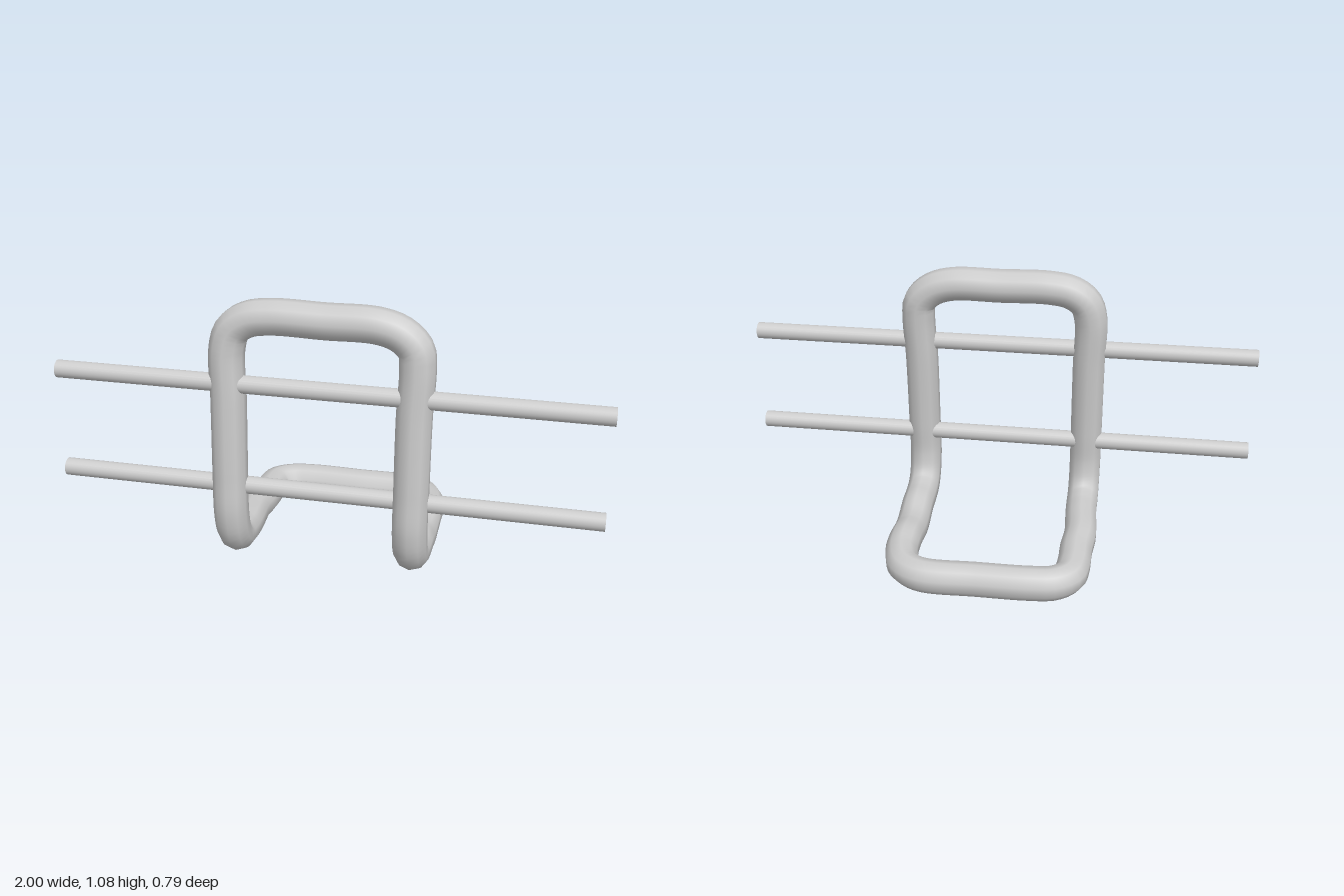
import * as THREE from 'three';

const TUBE_RADIUS = 0.065;
const ROD_RADIUS = 0.033;

export function createModel() {
  const model = new THREE.Group();
  model.name = 'bentTubeFrame';
  const material = new THREE.MeshStandardMaterial({ color: 0xcccccc });

  // Centre line of the bent tube: one closed, slightly hand-bent loop
  const path = [
    // top bar and its rounded corners
    [-0.352, 0.89, 0.288], [-0.33, 0.96, 0.283], [-0.275, 1.0, 0.281], [-0.19, 1.015, 0.28],
    [0, 1.013, 0.28],
    [0.19, 1.011, 0.28], [0.27, 0.985, 0.281], [0.32, 0.935, 0.284], [0.328, 0.87, 0.289],
    // left upright, then the bend to the foot
    [0.322, 0.7, 0.301], [0.321, 0.4, 0.32], [0.32, 0.26, 0.325],
    [0.32, 0.175, 0.305], [0.32, 0.128, 0.265], [0.32, 0.108, 0.2],
    // left foot arm with its dip
    [0.32, 0.101, 0.13], [0.318, 0.078, 0.04], [0.317, 0.075, -0.02], [0.318, 0.085, -0.11],
    [0.315, 0.077, -0.2],
    // back bar
    [0.285, 0.071, -0.285], [0.215, 0.069, -0.33], [0, 0.07, -0.333],
    [-0.2, 0.072, -0.332], [-0.285, 0.072, -0.318], [-0.338, 0.075, -0.275], [-0.352, 0.08, -0.2],
    // right foot arm
    [-0.353, 0.088, -0.1], [-0.361, 0.097, 0], [-0.353, 0.104, 0.12],
    // bend and right upright
    [-0.35, 0.11, 0.2], [-0.35, 0.128, 0.265], [-0.35, 0.175, 0.305], [-0.35, 0.26, 0.325],
    [-0.35, 0.4, 0.32], [-0.35, 0.7, 0.301],
  ].map((p) => new THREE.Vector3(...p));
  const curve = new THREE.CatmullRomCurve3(path, true, 'centripetal');
  const frame = new THREE.Mesh(new THREE.TubeGeometry(curve, 180, TUBE_RADIUS, 10, true), material);
  frame.name = 'bentTube';
  model.add(frame);

  // Two straight rods running through the uprights
  const rodGeometry = new THREE.CylinderGeometry(ROD_RADIUS, ROD_RADIUS, 2, 24).rotateZ(Math.PI / 2);
  for (const [name, y] of [['lowerRod', 0.363], ['upperRod', 0.763]]) {
    const rod = new THREE.Mesh(rodGeometry, material);
    rod.name = name;
    rod.position.set(0, y, 0.305);
    model.add(rod);
  }
  return model;
}
